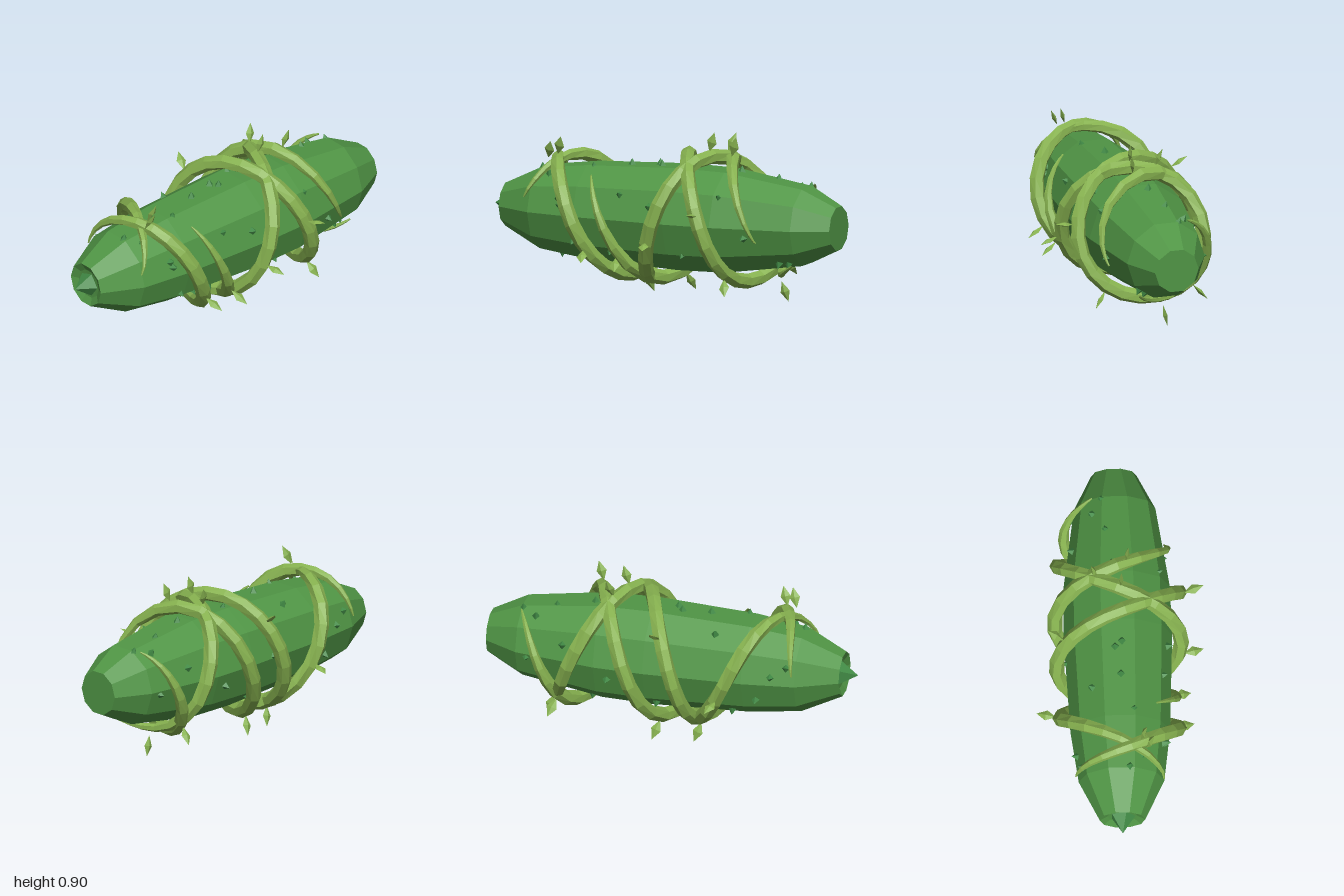
import * as THREE from 'three';
import { mergeGeometries } from 'three/addons/utils/BufferGeometryUtils.js';

const AXIS_Y = 0.445;
const RAD = Math.PI / 180;

// Body profile: [x, radius]
const PROFILE = [[-0.925, 0.12], [-0.71, 0.225], [-0.43, 0.262], [0.1, 0.285], [0.37, 0.28], [0.81, 0.214], [0.995, 0.12]];

function bodyRadius(x) {
  for (let i = 1; i < PROFILE.length; i++) {
    const [x0, r0] = PROFILE[i - 1], [x1, r1] = PROFILE[i];
    if (x <= x1) return r0 + (r1 - r0) * Math.max(0, (x - x0) / (x1 - x0));
  }
  return 0.12;
}

// Facet a geometry so every face has its own normal
function faceted(geometry) {
  const g = geometry.index ? geometry.toNonIndexed() : geometry;
  g.computeVertexNormals();
  return g;
}

// Position around the body: angle 0 is up, 90 is the front
function around(x, angle, r) {
  return new THREE.Vector3(x, r * Math.cos(angle * RAD), r * Math.sin(angle * RAD));
}

// Each vine: [angle, x] keys, and the angles where it carries leaves
const VINES = [
  {
    name: 'longVine',
    keys: [[-75, -0.70], [0, -0.63], [90, -0.42], [180, -0.2], [270, -0.07], [360, 0.12], [450, 0.34], [540, 0.49], [630, 0.68], [690, 0.8]],
    leaves: [19, 119, 198, 307, 439, 503],
  },
  {
    name: 'crossingVine',
    keys: [[70, -0.73], [0, -0.57], [-90, -0.35], [-180, -0.1], [-270, 0.06], [-360, 0.26], [-450, 0.5], [-540, 0.66], [-576, 0.79]],
    leaves: [25, -104, -255, -357, -377, -497, -533],
  },
  {
    name: 'shortVine',
    keys: [[41, -0.355], [90, -0.25], [180, -0.02], [270, 0.18], [360, 0.38], [450, 0.59], [465, 0.63]],
    leaves: [124, 206, 368],
  },
];

// x of a vine at a given angle
function vineX(keys, angle) {
  for (let i = 1; i < keys.length; i++) {
    const [a0, x0] = keys[i - 1], [a1, x1] = keys[i];
    const t = (angle - a0) / (a1 - a0);
    if (t >= 0 && t <= 1) return x0 + (x1 - x0) * t;
  }
  return keys[0][1];
}

// Six-sided tapered tube wound around the body, one ridge facing outwards
function vineGeometry(keys) {
  const SIDES = 6;
  const start = keys[0][0], end = keys[keys.length - 1][0];
  const steps = Math.round(Math.abs(end - start) / 16);
  const curve = new THREE.SplineCurve(keys.map(([a, x]) => new THREE.Vector2(a, x)));
  const samples = [];
  for (let i = 0; i <= steps; i++) {
    const { x: angle, y: x } = curve.getPoint(i / steps);
    const tip = Math.max(0, Math.min(1, Math.min(Math.abs(angle - start), Math.abs(end - angle)) / 110));
    samples.push({
      angle,
      size: 0.004 + 0.036 * Math.pow(tip, 0.8),
      centre: around(x, angle, bodyRadius(x) + 0.022 + 0.028 * tip),
    });
  }
  const position = [], index = [];
  samples.forEach((s, i) => {
    const next = samples[Math.min(i + 1, steps)].centre, prev = samples[Math.max(i - 1, 0)].centre;
    const T = next.clone().sub(prev).normalize();
    const N = around(0, s.angle, 1);
    N.addScaledVector(T, -N.dot(T)).normalize();
    const B = T.clone().cross(N);
    for (let j = 0; j < SIDES; j++) {
      const a = (j / SIDES) * Math.PI * 2;
      const p = s.centre.clone().addScaledVector(N, Math.cos(a) * s.size).addScaledVector(B, Math.sin(a) * s.size);
      position.push(p.x, p.y, p.z);
      if (i < steps) {
        const k = (j + 1) % SIDES, q = i * SIDES;
        index.push(q + j, q + k, q + SIDES + j, q + k, q + SIDES + k, q + SIDES + j);
      }
    }
  });
  const g = new THREE.BufferGeometry();
  g.setAttribute('position', new THREE.Float32BufferAttribute(position, 3));
  g.setIndex(index);
  return faceted(g);
}

// Flat diamond leaf pointing away from the body
function leafGeometry(x, angle) {
  const g = new THREE.OctahedronGeometry(1);
  g.scale(0.028, 0.056, 0.012).translate(0, 0.048, 0).rotateZ(-0.3);
  g.translate(0, bodyRadius(x) + 0.084, 0).rotateX(angle * RAD).translate(x, 0, 0);
  return faceted(g);
}

// Little spikes on the skin: [x, angle]
const SPIKES = [
  [-0.53, 69], [-0.52, 77], [-0.17, 60], [0.01, 72], [0.4, 55], [0.55, 102], [-0.45, 123], [-0.24, 133],
  [-0.36, 128], [0.19, 127], [0.7, 150], [0.75, 153], [-0.66, -65], [-0.58, -80], [-0.26, -34], [-0.05, -4],
  [-0.02, 4], [0.11, -13], [0.62, -14], [0.72, -34], [0.42, -6], [-0.63, 30], [-0.7, 12], [-0.39, 17],
  [-0.2, 2], [0.2, 45], [-0.6, 175], [-0.05, -88], [0.3, -105], [0.55, -70], [0.05, -140], [-0.35, -150],
  [0.42, -160], [0.75, -95], [-0.5, -115], [0.8, -20],
];

function spikeGeometry([x, angle]) {
  const g = new THREE.ConeGeometry(0.023, 0.036, 4);
  g.translate(0, bodyRadius(x) * 0.96 + 0.014, 0).rotateX(angle * RAD).translate(x, 0, 0);
  return faceted(g);
}

export function createModel() {
  const skin = new THREE.MeshStandardMaterial({ color: 0x509545 });
  skin.name = 'skin green';
  const spikeGreen = new THREE.MeshStandardMaterial({ color: 0x418a45 });
  spikeGreen.name = 'spike green';
  const vineGreen = new THREE.MeshStandardMaterial({ color: 0x86b14f });
  vineGreen.name = 'vine green';

  const model = new THREE.Group();
  model.name = 'vineWrappedCucumber';
  const add = (name, geometry, material) => {
    const mesh = new THREE.Mesh(geometry, material);
    mesh.name = name;
    mesh.position.y = AXIS_Y;
    model.add(mesh);
  };

  // Ten-sided body, shallow dent at the stem end
  const outline = [[-0.9, 0], [-0.905, 0.08], ...PROFILE, [0.995, 0]];
  const body = new THREE.LatheGeometry(outline.map(([x, r]) => new THREE.Vector2(r, x)), 10);
  add('body', faceted(body.rotateZ(-Math.PI / 2)), skin);

  // Pointed stem
  const stem = new THREE.ConeGeometry(0.07, 0.1, 5);
  add('stem', faceted(stem.rotateZ(Math.PI / 2).translate(-0.95, 0, 0)), spikeGreen);

  add('spikes', mergeGeometries(SPIKES.map(spikeGeometry)), spikeGreen);

  // Vines with their leaves
  for (const { name, keys, leaves } of VINES) {
    add(name, vineGeometry(keys), vineGreen);
    add(name + 'Leaves', mergeGeometries(leaves.map((a) => leafGeometry(vineX(keys, a), a))), vineGreen);
  }
  return model;
}
